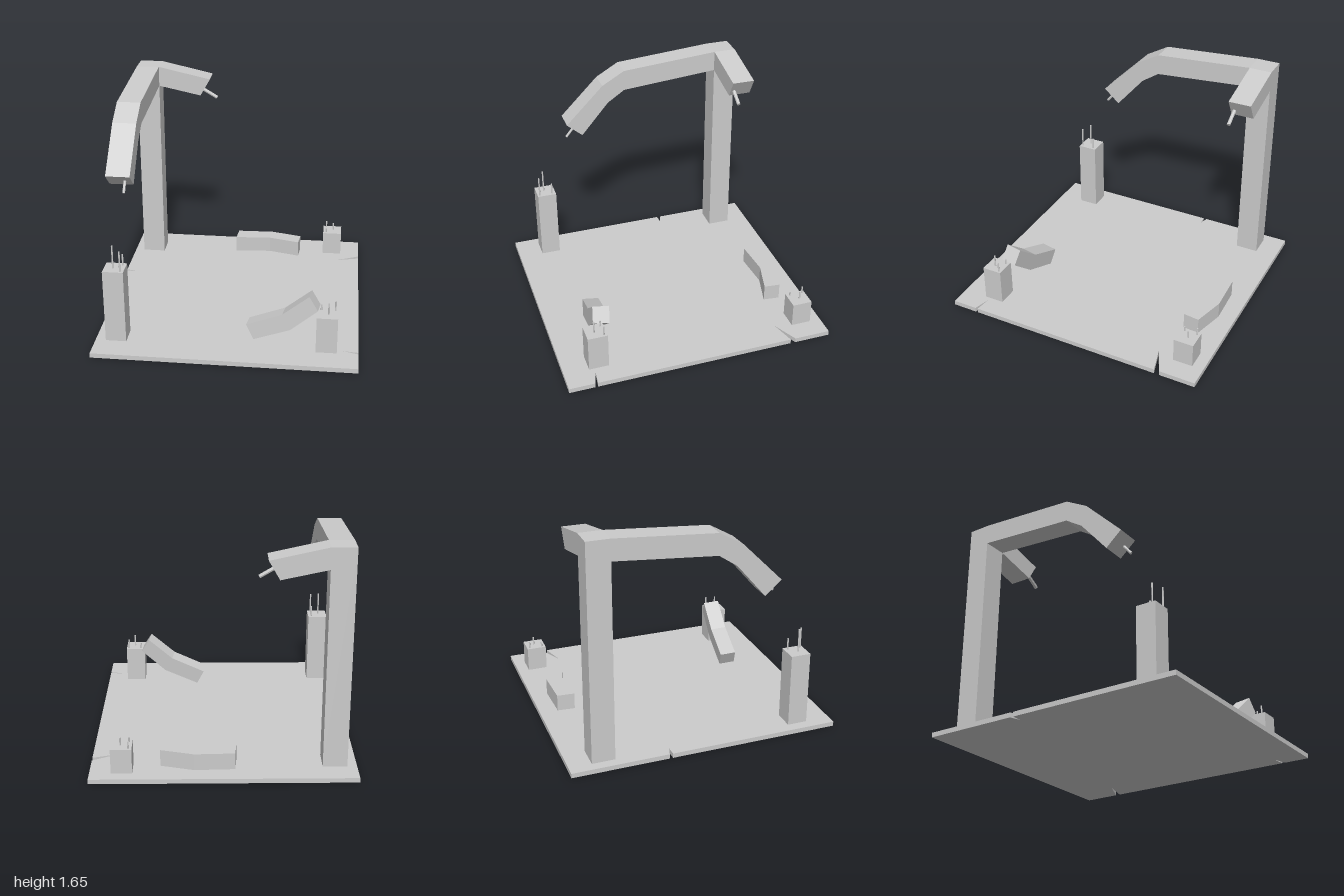
import * as THREE from 'three';

const V = (x, y, z) => new THREE.Vector3(x, y, z);
const material = new THREE.MeshStandardMaterial({ color: 0xcccccc, flatShading: true });

// Extrude a 2D outline, then place it with three axes and an origin
function prism(name, points, depth, origin, ax = V(1, 0, 0), ay = V(0, 1, 0), az = V(0, 0, 1)) {
  const shape = new THREE.Shape(points.map(([x, y]) => new THREE.Vector2(x, y)));
  const geometry = new THREE.ExtrudeGeometry(shape, { depth, bevelEnabled: false });
  geometry.applyMatrix4(new THREE.Matrix4().makeBasis(ax, ay, az).setPosition(origin));
  geometry.computeVertexNormals();
  const mesh = new THREE.Mesh(geometry, material);
  mesh.name = name;
  return mesh;
}

// Flat outline given as [x, z], raised from y0 by a height
function slab(name, outline, y0, height) {
  return prism(name, outline.map(([x, z]) => [x, -z]), height, V(0, y0, 0),
    V(1, 0, 0), V(0, 0, -1), V(0, 1, 0));
}

// Block given by its x, y and z ranges
function block(name, x0, x1, y0, y1, z0, z1) {
  const mesh = new THREE.Mesh(new THREE.BoxGeometry(x1 - x0, y1 - y0, z1 - z0), material);
  mesh.position.set((x0 + x1) / 2, (y0 + y1) / 2, (z0 + z1) / 2);
  mesh.name = name;
  return mesh;
}

// Thin round bar between two points
function rod(name, a, b, radius) {
  const dir = b.clone().sub(a);
  const mesh = new THREE.Mesh(new THREE.CylinderGeometry(radius, radius, dir.length(), 8), material);
  mesh.position.copy(a).add(b).multiplyScalar(0.5);
  mesh.quaternion.setFromUnitVectors(V(0, 1, 0), dir.normalize());
  mesh.name = name;
  return mesh;
}

export function createModel() {
  const model = new THREE.Group();
  model.name = 'brokenPillars';
  const TOP = 0.035;

  // Base plate with three cracks in its edges
  model.add(slab('basePlate', [
    [-0.945, 1], [0.945, 1],
    [0.945, 0.81], [0.825, 0.777], [0.945, 0.79],
    [0.945, -0.69], [0.757, -0.638], [0.945, -0.728],
    [0.945, -1], [-0.945, -1],
    [-0.945, -0.29], [-0.873, -0.268], [-0.945, -0.265],
  ], 0, TOP));

  // Tall column with two broken arms
  model.add(block('column', -0.875, -0.7, TOP, 1.655, -0.835, -0.665));
  model.add(prism('frontArm', [
    [-0.665, 1.5], [0.08, 1.44], [0.215, 1.35], [0.43, 1.1],
    [0.55, 1.205], [0.255, 1.5], [0.08, 1.6], [-0.665, 1.655],
  ], 0.175, V(-0.7, 0, 0), V(0, 0, 1), V(0, 1, 0), V(-1, 0, 0)));
  model.add(prism('sideArm', [
    [-0.7, 1.5], [-0.37, 1.43], [-0.293, 1.565], [-0.7, 1.655],
  ], 0.17, V(0, 0, -0.835)));
  model.add(rod('frontArmBar', V(-0.748, 1.165, 0.48), V(-0.748, 1.082, 0.549), 0.01));
  model.add(rod('sideArmBar', V(-0.36, 1.482, -0.695), V(-0.24, 1.41, -0.695), 0.014));

  // Broken posts: x, z, height, then bars as [x, z, top]
  const posts = [
    ['frontRightPost', -0.795, 0.74, 0.59,
      [[-0.745, 0.695, 0.675], [-0.805, 0.75, 0.765], [-0.745, 0.795, 0.745]]],
    ['frontLeftPost', 0.717, 0.74, 0.31,
      [[0.672, 0.69, 0.355], [0.772, 0.69, 0.385], [0.725, 0.75, 0.4]]],
    ['backLeftPost', 0.718, -0.841, 0.22,
      [[0.667, -0.893, 0.275], [0.725, -0.847, 0.28], [0.667, -0.795, 0.255]]],
  ];
  for (const [name, x, z, top, bars] of posts) {
    const post = new THREE.Group();
    post.name = name;
    post.add(block('postBody', x - 0.075, x + 0.075, TOP, top, z - 0.074, z + 0.074));
    for (const [bx, bz, by] of bars) post.add(rod('postBar', V(bx, top - 0.02, bz), V(bx, by, bz), 0.006));
    model.add(post);
  }

  // Bent beam lying flat on the plate
  model.add(slab('fallenBeam', [
    [-0.09, -0.735], [0.195, -0.755], [0.437, -0.69],
    [0.45, -0.81], [0.21, -0.875], [-0.08, -0.865],
  ], TOP, 0.125));

  // Bent beam leaning against the front left post
  model.add(prism('leaningBeam', [
    [0.19, 0.045], [0.455, 0.152], [0.648, 0.322],
    [0.585, 0.425], [0.395, 0.265], [0.135, 0.155],
  ], 1, V(0.015, -0.009, 0.563), V(1, 0, 0.122), V(0, 1, -0.078), V(-0.015, 0.009, 0.12)));

  return model;
}
